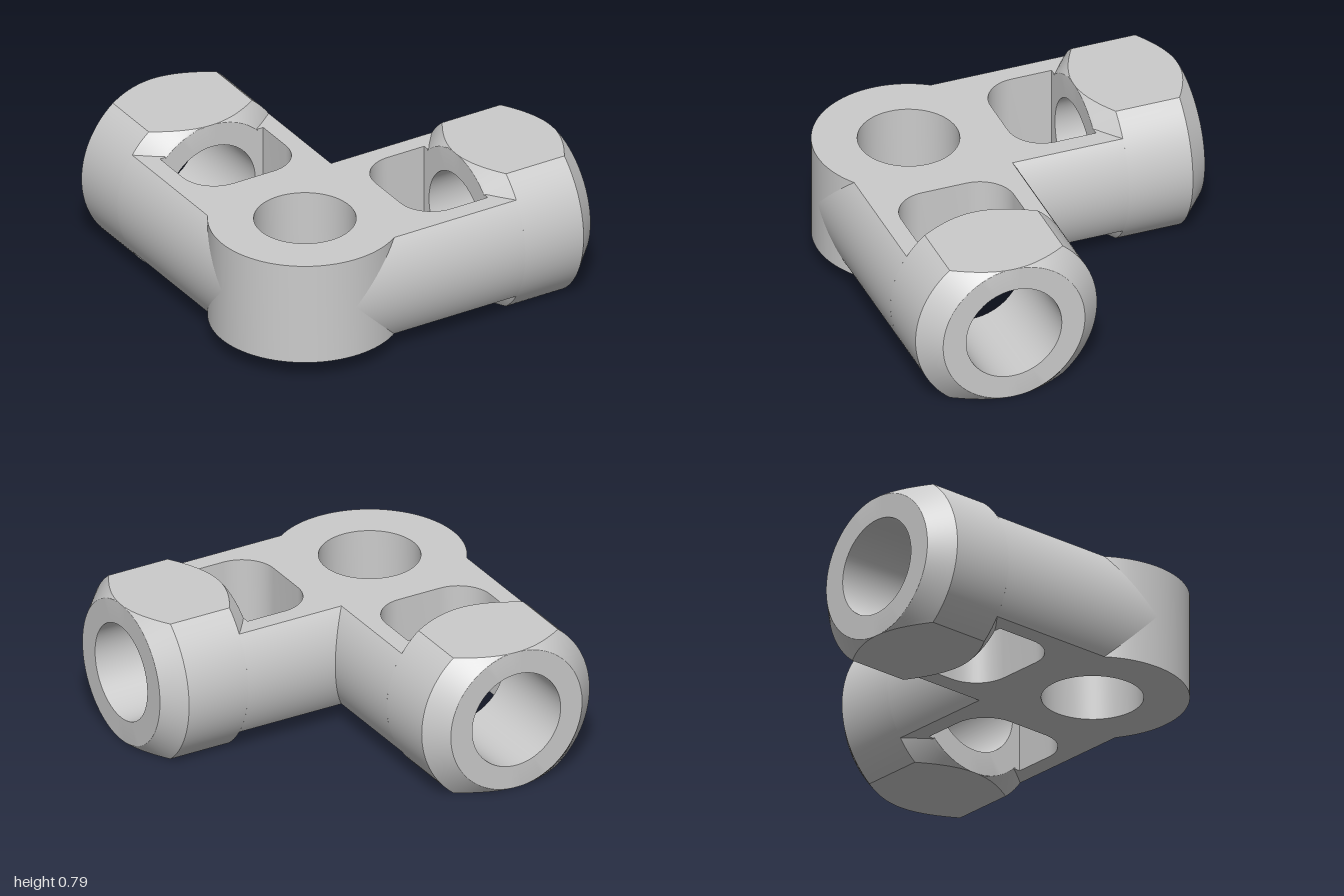
import * as THREE from 'three';
import { toCreasedNormals } from 'three/addons/utils/BufferGeometryUtils.js';

const R = 0.505;       // outer radius of hub and arms
const BORE = 0.266;    // radius of all round holes
const LOW = 0.287;     // half height of the plate
const HIGH = 0.395;    // half height of the end sockets
const AXIS = 0.495;    // hub offset from the centre
const FLAT = Math.sqrt(R * R - LOW * LOW); // half width of the arm at the plate's faces
const SLOT_END = 0.92, STEP = 1.03, TIP = 1.495;
const N = 32;

const material = new THREE.MeshStandardMaterial({ color: 0xcccccc });

function part(name, geometry) {
  const mesh = new THREE.Mesh(toCreasedNormals(geometry, 0.35), material);
  mesh.name = name;
  return mesh;
}

// Skin a row of equally long cross-sections
function loft(rings) {
  const positions = [], index = [], n = rings[0].length;
  rings.forEach(ring => ring.forEach(p => positions.push(...p)));
  for (let i = 0; i < rings.length - 1; i++) {
    for (let j = 0; j < n - 1; j++) {
      const a = i * n + j, b = a + n;
      index.push(a, b, b + 1, a, b + 1, a + 1);
    }
  }
  const g = new THREE.BufferGeometry();
  g.setAttribute('position', new THREE.Float32BufferAttribute(positions, 3));
  g.setIndex(index);
  return g;
}

// One side of a circle cut flat at +-h; at(x, y) gives the distance along the arm
function arc(r, h, side, at) {
  const limit = Math.asin(Math.min(1, h / r));
  return Array.from({ length: N + 1 }, (_, k) => {
    const t = limit * (2 * k / N - 1);
    const x = side * r * Math.cos(t), y = side * r * Math.sin(t);
    return [x, y, -at(x, y)];
  });
}

// Plate with hub, round hole and a slot in each arm
function createPlate() {
  const half = 0.314, corner = 0.19, slotStart = 0.505;
  const slot = [];
  for (const side of [-1, 1]) {
    for (let k = 0; k <= 12; k++) {
      const t = (side < 0 ? Math.PI : 1.5 * Math.PI) + k / 12 * Math.PI / 2;
      slot.push([side * (half - corner) + corner * Math.cos(t),
        slotStart + corner + corner * Math.sin(t)]);
    }
  }
  const arm = [
    [-FLAT, LOW], [-FLAT, STEP], [-0.28, STEP], [-0.28, SLOT_END], [-half, SLOT_END],
    ...slot,
    [half, SLOT_END], [0.28, SLOT_END], [0.28, STEP], [FLAT, STEP], [FLAT, FLAT],
  ];
  const otherArm = arm.slice(0, -1).reverse().map(([x, y]) => [y, x]);
  const hub = [];
  const from = Math.atan2(-FLAT, LOW), to = Math.atan2(LOW, -FLAT) - 2 * Math.PI;
  for (let k = 1; k < 64; k++) {
    const t = from + (to - from) * k / 64;
    hub.push([R * Math.cos(t), R * Math.sin(t)]);
  }
  const shape = new THREE.Shape([...arm, ...otherArm, ...hub].map(p => new THREE.Vector2(...p)));
  // the outline runs clockwise, so the hole runs counterclockwise
  shape.holes.push(new THREE.Path().absarc(0, 0, BORE, 0, 2 * Math.PI, false));
  const g = new THREE.ExtrudeGeometry(shape, { depth: 2 * LOW, bevelEnabled: false, curveSegments: 32 });
  g.rotateX(-Math.PI / 2).translate(0, -LOW, 0);
  return part('hubPlate', g);
}

// Chamfered socket with flats above and below and a bore through it
function createSocket() {
  const steps = 14;
  // rings crowd towards the small end, where the flats narrow quickly
  const chamfer = (small, large) => Array.from({ length: steps + 1 }, (_, k) => {
    const t = (k / steps) ** 2;
    return [HIGH + (R - HIGH) * t, small + (large - small) * t];
  });
  const profile = [
    [BORE, SLOT_END], ...chamfer(SLOT_END, STEP),
    ...chamfer(TIP, 1.385).reverse(), [BORE, TIP], [BORE, SLOT_END],
  ];
  const rings = profile.map(([r, u]) => {
    const ring = [...arc(r, HIGH, 1, () => u), ...arc(r, HIGH, -1, () => u)];
    return [...ring, ring[0]];
  });
  return part('endSocket', loft(rings));
}

// Arm along -z; inner is the side facing the other arm, where the two are mitred
function createArm(name, inner) {
  const arm = new THREE.Group();
  arm.name = name;
  for (const side of [1, -1]) {
    const start = side === inner ? x => Math.abs(x) : (x, y) => Math.abs(y);
    arm.add(part(side === inner ? 'innerArmSide' : 'outerArmSide',
      loft([arc(R, LOW, side, start), arc(R, LOW, side, () => STEP)])));
  }
  arm.add(createSocket());
  return arm;
}

export function createModel() {
  const model = new THREE.Group();
  model.name = 'angleConnector';
  const body = new THREE.Group();
  body.name = 'connectorBody';
  body.position.set(-AXIS, HIGH, AXIS);
  const leftArm = createArm('leftArm', -1);
  leftArm.rotation.y = -Math.PI / 2;
  body.add(createPlate(), createArm('backArm', 1), leftArm);
  model.add(body);
  return model;
}
